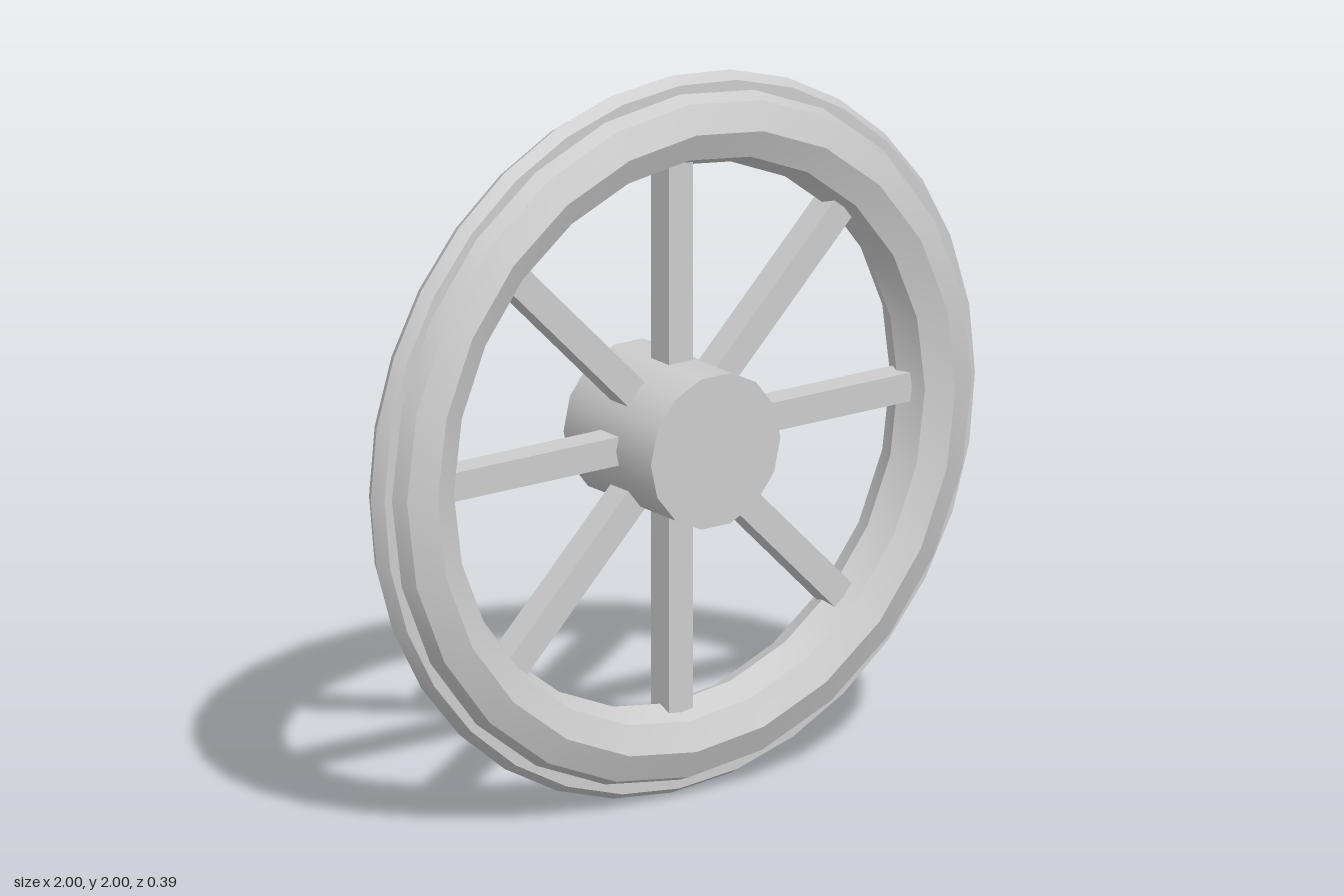
import * as THREE from 'three';
import { toCreasedNormals } from 'three/addons/utils/BufferGeometryUtils.js';

export function createModel() {
  const wheel = new THREE.Group();
  wheel.name = 'wheel';
  const grey = new THREE.MeshStandardMaterial({ color: 0xcccccc });
  grey.name = 'light grey';
  const crease = Math.PI / 5.5;

  const add = (name, geometry) => {
    const mesh = new THREE.Mesh(geometry, grey);
    mesh.name = name;
    mesh.position.y = 1;
    wheel.add(mesh);
    return mesh;
  };

  // Octagonal rim with a narrow hexagonal tread around its outside
  add('rim', toCreasedNormals(new THREE.TorusGeometry(0.86, 0.11, 8, 24), crease));
  add('tread', toCreasedNormals(new THREE.TorusGeometry(0.96, 0.04, 6, 32), crease));

  // Hub along the axle
  const hub = new THREE.CylinderGeometry(0.215, 0.215, 0.39, 14);
  hub.rotateX(Math.PI / 2).rotateZ(Math.PI / 2);
  add('hub', toCreasedNormals(hub, crease));

  // Eight square spokes from inside the hub to the rim
  const inner = 0.15, outer = 0.767;
  const spoke = new THREE.BoxGeometry(outer - inner, 0.08, 0.08);
  spoke.translate((inner + outer) / 2, 0, 0);
  for (let i = 0; i < 8; i++) {
    add('spoke' + (i + 1), spoke).rotation.z = (i * Math.PI) / 4;
  }
  return wheel;
}
